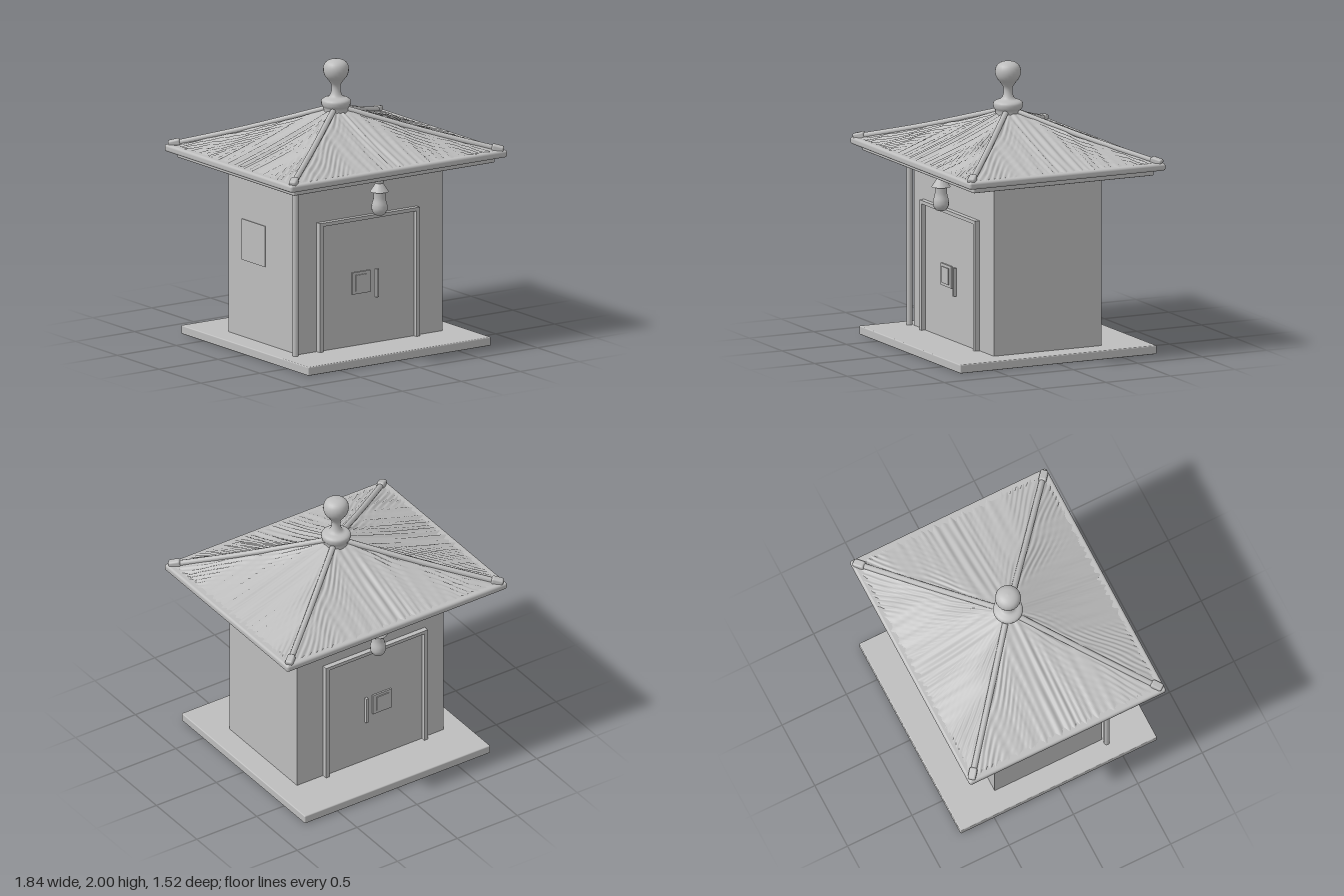
import * as THREE from 'three';
import { RoundedBoxGeometry } from 'three/addons/geometries/RoundedBoxGeometry.js';

const stone = new THREE.MeshStandardMaterial({ color: 0xbdbdbd });
stone.name = 'pale grey';

// Roof slope limits: half sizes and heights at the eaves and under the finial
const EAVE = { x: 0.895, y: 1.365, z: 0.74 };
const TOP = { x: 0.06, y: 1.645, z: 0.05 };
const lerp = THREE.MathUtils.lerp;

function add(parent, name, geometry, x = 0, y = 0, z = 0) {
  const mesh = new THREE.Mesh(geometry, stone);
  mesh.name = name;
  mesh.position.set(x, y, z);
  parent.add(mesh);
  return mesh;
}

function slab(parent, name, w, y0, y1, d, r) {
  return add(parent, name, new RoundedBoxGeometry(w, y1 - y0, d, 3, r), 0, (y0 + y1) / 2, 0);
}

function lathe(points, segments) {
  return new THREE.LatheGeometry(
    new THREE.SplineCurve(points.map(p => new THREE.Vector2(...p))).getPoints(40)
      .map(p => new THREE.Vector2(Math.max(p.x, 0), p.y)), segments);
}

// Straw grooves run straight down each slope
function straw(a, v, seed) {
  return 0.005 * Math.sin(a * 125 + 2 * Math.sin(a * 17 + seed))
    + 0.003 * Math.sin(a * 61 + seed * 3 + 1.5 * Math.sin(v * 5 + seed));
}

function slopeGeometry(along, depth, topAlong, topDepth, seed) {
  const g = new THREE.PlaneGeometry(1, 1, 160, 14);
  const p = g.attributes.position;
  for (let i = 0; i < p.count; i++) {
    const u = p.getX(i) * 2, v = p.getY(i) + 0.5;
    const a = u * lerp(along, topAlong, v);
    const fade = Math.min(1, (1 - Math.abs(u)) * 12);
    p.setXYZ(i, a, lerp(EAVE.y, TOP.y, v) - 0.012 * Math.sin(Math.PI * v)
      + fade * straw(a, v, seed), lerp(depth, topDepth, v));
  }
  g.computeVertexNormals();
  return g;
}

function buildRoof() {
  const roof = new THREE.Group();
  roof.name = 'roof';
  slab(roof, 'lowerEave', 1.71, 1.28, 1.33, 1.40, 0.01);
  slab(roof, 'upperEave', 1.84, 1.32, 1.372, 1.525, 0.018);

  for (let k = 0; k < 4; k++) {
    const g = k % 2
      ? slopeGeometry(EAVE.z, EAVE.x, TOP.z, TOP.x, k + 1)
      : slopeGeometry(EAVE.x, EAVE.z, TOP.x, TOP.z, k + 1);
    add(roof, 'thatchSlope', g).rotation.y = k * Math.PI / 2;
  }

  // Hip ridges with a blunt end cap at each corner
  for (const sx of [-1, 1]) for (const sz of [-1, 1]) {
    const low = new THREE.Vector3(sx * 0.885, 1.372, sz * 0.73);
    const high = new THREE.Vector3(sx * TOP.x, TOP.y, sz * TOP.z);
    const mid = low.clone().lerp(high, 0.5);
    mid.y -= 0.01;
    const path = new THREE.CatmullRomCurve3([low, mid, high]);
    add(roof, 'hipRidge', new THREE.TubeGeometry(path, 10, 0.021, 8));
    const cap = add(roof, 'ridgeEnd', new RoundedBoxGeometry(0.055, 0.05, 0.085, 2, 0.014),
      sx * 0.865, 1.382, sz * 0.715);
    cap.lookAt(high);
  }

  add(roof, 'finial', lathe([
    [0.085, 1.62], [0.088, 1.655], [0.1, 1.675], [0.103, 1.705], [0.085, 1.722],
    [0.05, 1.735], [0.033, 1.77], [0.031, 1.81], [0.05, 1.845], [0.08, 1.885],
    [0.09, 1.93], [0.078, 1.97], [0.045, 1.993], [0, 2]], 20));
  return roof;
}

function rect(shape, x0, y0, x1, y1) {
  return shape.moveTo(x0, y0).lineTo(x1, y0).lineTo(x1, y1).lineTo(x0, y1).closePath();
}

// Door set in a raised frame; mirror keeps the lock on the same side in x
function buildDoor(mirror) {
  const door = new THREE.Group();
  door.name = mirror < 0 ? 'backDoor' : 'frontDoor';
  const m = mirror;
  const box = (name, x0, x1, y0, y1, z0, z1) => add(door, name,
    new THREE.BoxGeometry(x1 - x0, y1 - y0, z1 - z0),
    m * (x0 + x1) / 2, (y0 + y1) / 2, (z0 + z1) / 2);

  const outline = rect(new THREE.Shape(), -0.425, 0.05, 0.425, 0.98);
  outline.holes.push(rect(new THREE.Path(), -0.395, 0.055, 0.395, 0.955));
  add(door, 'doorFrame', new THREE.ExtrudeGeometry(outline, { depth: 0.045, bevelEnabled: false }),
    -0.035 * m, 0, 0.41);
  box('doorPanel', -0.43, 0.36, 0.05, 0.955, 0.40, 0.424);
  box('lockPlate', -0.17, -0.015, 0.43, 0.585, 0.42, 0.436);
  box('lockInset', -0.145, -0.045, 0.45, 0.565, 0.43, 0.443);
  box('doorHandle', 0.03, 0.048, 0.385, 0.585, 0.42, 0.446);
  if (m < 0) door.rotation.y = Math.PI;
  return door;
}

function buildLamp(z) {
  const lamp = new THREE.Group();
  lamp.name = 'hangingLamp';
  lamp.position.z = z;
  add(lamp, 'lampHook', new THREE.CylinderGeometry(0.014, 0.014, 0.04, 8), 0, 1.27, 0);
  add(lamp, 'lampCap', new THREE.SphereGeometry(0.032, 12, 8), 0, 1.235, 0);
  add(lamp, 'lampShade', new THREE.CylinderGeometry(0.026, 0.066, 0.06, 14), 0, 1.19, 0);
  add(lamp, 'lampBulb', lathe([
    [0, 0.988], [0.032, 0.995], [0.053, 1.025], [0.055, 1.06], [0.043, 1.11], [0.042, 1.165]], 14));
  return lamp;
}

export function createModel() {
  const model = new THREE.Group();
  model.name = 'hut';

  slab(model, 'base', 1.55, 0, 0.062, 1.525, 0.008);

  // Walls
  add(model, 'walls', new THREE.BoxGeometry(1.225, 1.24, 0.835), -0.005, 0.67, 0);

  // Doors and lamps, front and back
  for (const s of [1, -1]) {
    model.add(buildDoor(s));
    model.add(buildLamp(s * 0.52));
  }

  // Small window on the right wall
  add(model, 'window', new THREE.BoxGeometry(0.009, 0.29, 0.28), -0.62, 0.755, -0.11);

  // Slim post by the front right corner
  add(model, 'cornerPost', new THREE.CylinderGeometry(0.021, 0.021, 1.24, 12), -0.65, 0.67, 0.435);

  model.add(buildRoof());
  return model;
}
